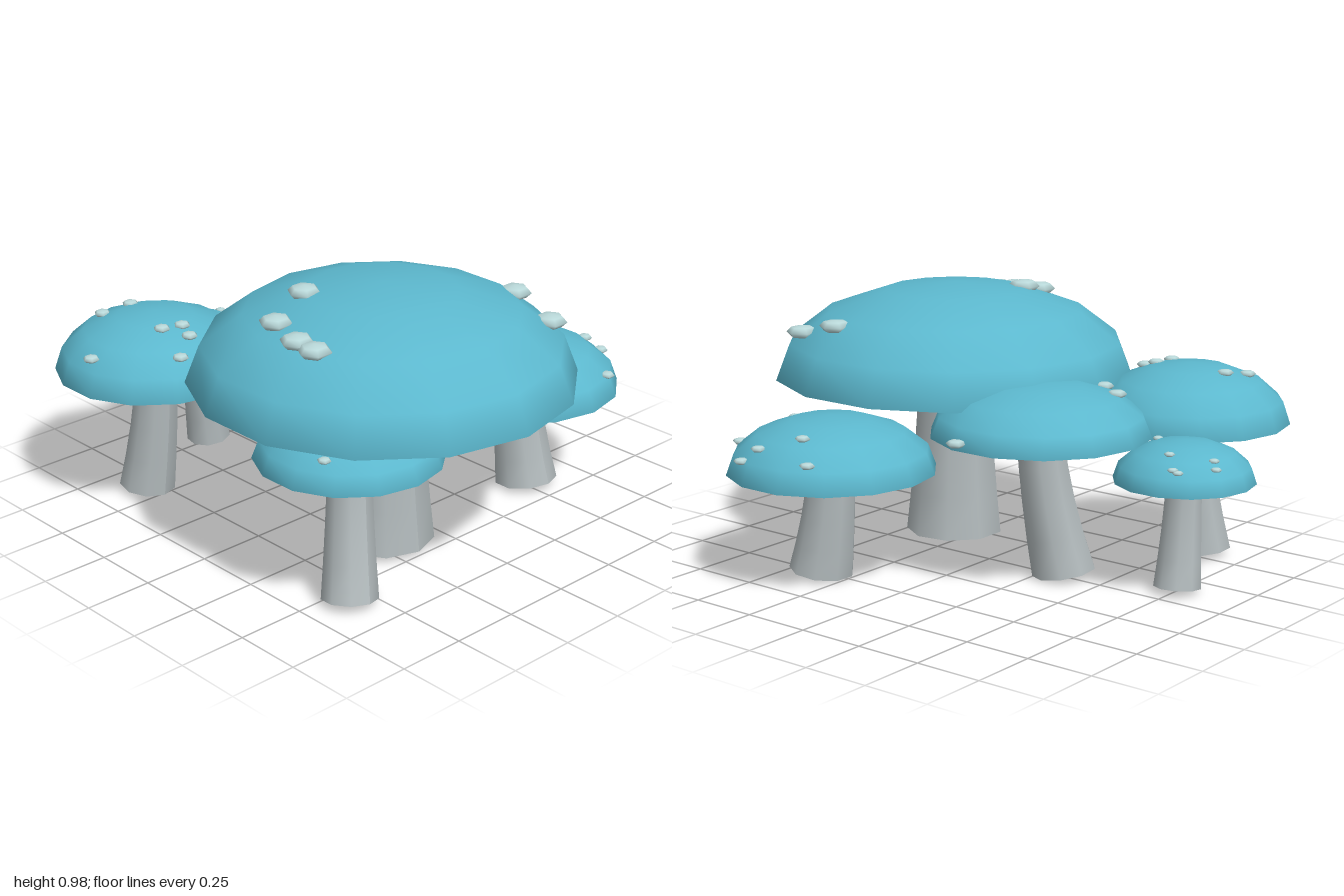
import * as THREE from 'three';

const SIDES = 14;
const BASE_Y = 0.02;

const makeMaterial = (name, color) => new THREE.MeshStandardMaterial({ name, color });

// Leaning, tapered stem: cylinder rings slid along a gentle curve
function stemGeometry(foot, footRadius, head, headY) {
  const length = headY - BASE_Y + 0.02;
  const lean = head.clone().sub(foot);
  const geometry = new THREE.CylinderGeometry(1, 1, 1, 9, 4);
  const p = geometry.attributes.position;
  for (let i = 0; i < p.count; i++) {
    const t = p.getY(i) + 0.5;
    const ease = 1 - (1 - t) ** 1.5;
    const radius = footRadius * (1 - 0.25 * ease);
    const dx = p.getX(i) * radius, dz = p.getZ(i) * radius;
    // the cut base is tilted square to the lean
    const tilt = (1 - t) * (dx * lean.x + dz * lean.y) / length;
    p.setXYZ(i, foot.x + lean.x * ease + dx, BASE_Y + length * t - tilt, foot.y + lean.y * ease + dz);
  }
  geometry.computeVertexNormals();
  return geometry;
}

export function createModel() {
  const model = new THREE.Group();
  model.name = 'mushroomCluster';
  const capMaterial = makeMaterial('capTeal', 0x5cb8ce);
  const stemMaterial = makeMaterial('stemGrey', 0xb2babc);
  const spotMaterial = makeMaterial('spotPale', 0xbad9da);

  // Unit shapes shared by every mushroom
  const dome = new THREE.SphereGeometry(1, SIDES, 4, Math.PI / 2, Math.PI * 2, 0, Math.PI / 2);
  const disc = new THREE.CircleGeometry(1, SIDES, Math.PI / 2).rotateX(Math.PI / 2);
  const pebble = new THREE.SphereGeometry(1, 6, 4);

  // cap: x, z, radius, rim height, dome height; foot: x, z, radius; spots: x, z pairs
  function addMushroom(name, [cx, cz, r, y, h], [fx, fz, fr], spotSize, spots) {
    const group = new THREE.Group();
    group.name = name;
    const add = (part, geometry, material) => {
      const mesh = new THREE.Mesh(geometry, material);
      mesh.name = part;
      group.add(mesh);
      return mesh;
    };
    for (const [part, geometry, material] of [['cap', dome, capMaterial], ['capUnderside', disc, stemMaterial]]) {
      const mesh = add(part, geometry, material);
      mesh.position.set(cx, y, cz);
      mesh.scale.set(r, h, r);
    }
    add('stem', stemGeometry(new THREE.Vector2(fx, fz), fr, new THREE.Vector2(cx, cz), y), stemMaterial);

    // Flattened spots resting on the dome
    for (const [x, z] of spots) {
      const d = Math.min(1, Math.hypot(x - cx, z - cz) / r);
      const spot = add('spot', pebble, spotMaterial);
      spot.position.set(x, y + h * Math.sqrt(1 - d * d), z);
      spot.scale.set(spotSize, spotSize * 0.42, spotSize);
    }
    model.add(group);
  }

  addMushroom('largeMushroom', [-0.19, 0.315, 0.682, 0.635, 0.348], [-0.19, 0.32, 0.185], 0.06,
    [[-0.4, 0.15], [-0.585, 0.215], [-0.625, 0.365], [-0.625, 0.45], [0.295, 0.48], [0.27, 0.67]]);
  addMushroom('leftMushroom', [0.51, 0.31, 0.377, 0.4, 0.2], [0.52, 0.36, 0.117], 0.028,
    [[0.8, 0.155], [0.72, 0.25], [0.8, 0.385], [0.835, 0.435], [0.655, 0.62], [0.42, 0.57]]);
  addMushroom('frontRightMushroom', [-0.52, 0.5, 0.325, 0.507, 0.17], [-0.585, 0.57, 0.1], 0.024,
    [[-0.75, 0.63], [-0.26, 0.6]]);
  addMushroom('middleMushroom', [0.035, -0.26, 0.4, 0.53, 0.188], [-0.01, -0.335, 0.115], 0.036,
    [[-0.14, -0.465], [-0.21, -0.36], [0.425, -0.19]]);
  addMushroom('backRightMushroom', [-0.525, -0.525, 0.368, 0.513, 0.215], [-0.55, -0.58, 0.104], 0.031,
    [[-0.625, -0.705], [-0.52, -0.675], [-0.83, -0.5], [-0.59, -0.4], [-0.515, -0.38], [-0.53, -0.32], [-0.62, -0.26]]);
  addMushroom('smallBackMushroom', [-0.155, -0.745, 0.253, 0.397, 0.148], [-0.11, -0.755, 0.085], 0.02,
    [[-0.09, -0.905], [-0.065, -0.93], [0.035, -0.84], [0.035, -0.82], [-0.02, -0.77], [-0.16, -0.63]]);

  return model;
}
